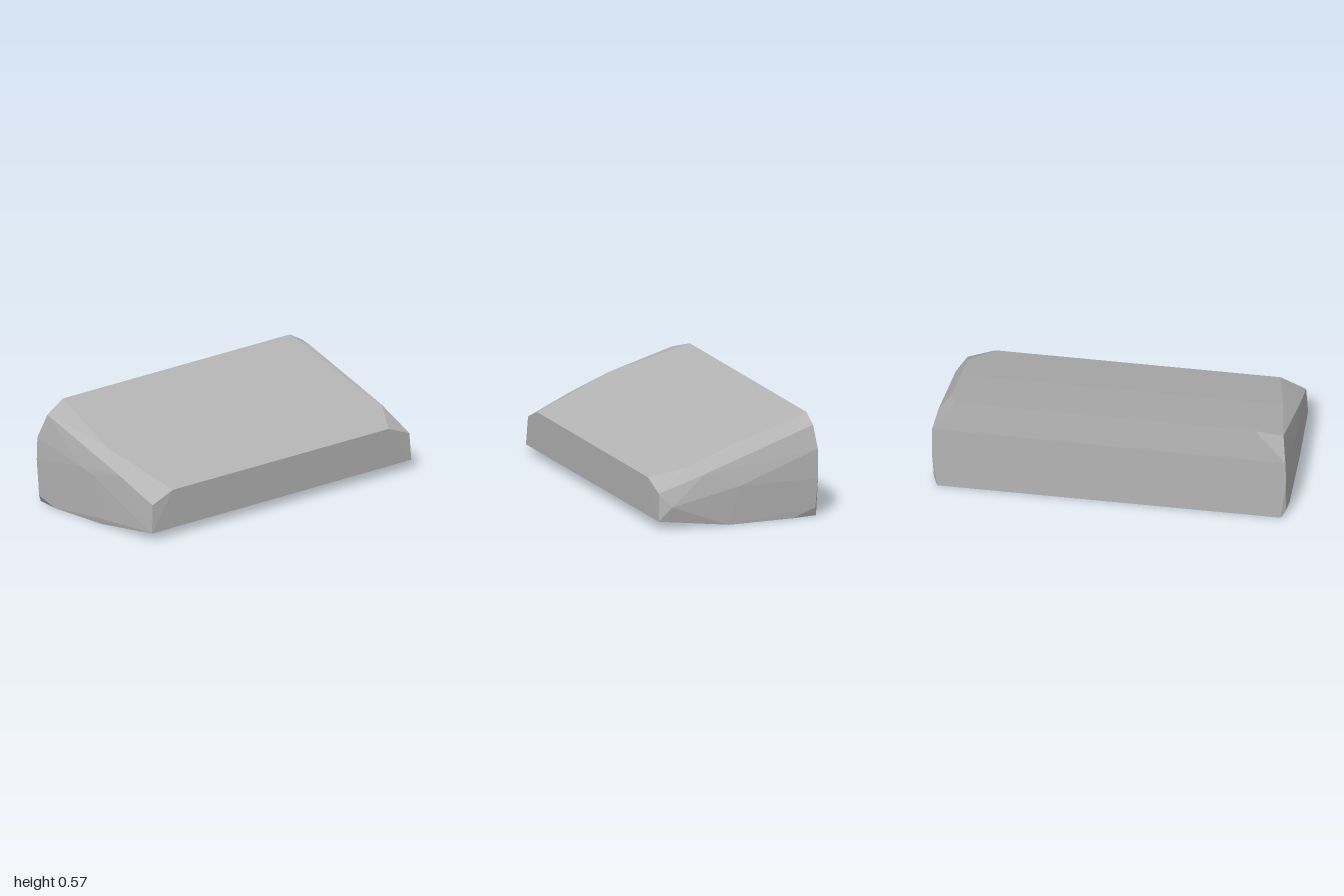
import * as THREE from 'three';
import { ConvexGeometry } from 'three/addons/geometries/ConvexGeometry.js';

// Corners of each end cap as [x, y, z]
const frontCap = [
  // upper bevel
  [-0.455, 0.573, 0.82], [0, 0.43, 0.91], [0.468, 0.267, 0.82],
  [-0.41, 0.523, 0.975], [0.2, 0.32, 0.98], [0.462, 0.207, 0.965],
  // bulging end face
  [-0.472, 0.38, 0.995], [-0.472, 0.25, 1], [-0.1, 0.3, 0.998], [0, 0.275, 0.996],
  // lower edge
  [-0.457, 0.04, 0.995], [-0.472, 0, 0.97], [-0.325, 0, 0.995], [0.06, 0.035, 0.992],
  [0.06, 0, 0.985], [0.47, 0.045, 0.975],
];
const backCap = [
  // upper bevel
  [-0.455, 0.573, -0.87], [0, 0.43, -0.88], [0.468, 0.267, -0.79],
  [-0.32, 0.525, -0.915], [0.27, 0.335, -0.91],
  [-0.457, 0.52, -0.965], [0.2, 0.3, -0.97], [0.465, 0.207, -0.945],
  // bulging end face
  [-0.472, 0.39, -0.998], [-0.472, 0.22, -1], [0, 0.22, -1], [0.4, 0.13, -0.98],
  // lower edge
  [-0.46, 0.05, -0.99], [-0.472, 0, -0.97], [-0.325, 0, -0.985],
  [0.06, 0, -0.985], [0.47, 0.05, -0.955],
];

export function createModel() {
  const group = new THREE.Group();
  group.name = 'wedgeBlock';
  const grey = new THREE.MeshStandardMaterial({ color: 0xb4b4b4 });
  grey.name = 'grey';

  // Faceted wedge stretched between the two caps
  const points = [...frontCap, ...backCap].map((p) => new THREE.Vector3(...p));
  const block = new THREE.Mesh(new ConvexGeometry(points), grey);
  block.name = 'block';
  group.add(block);
  return group;
}
